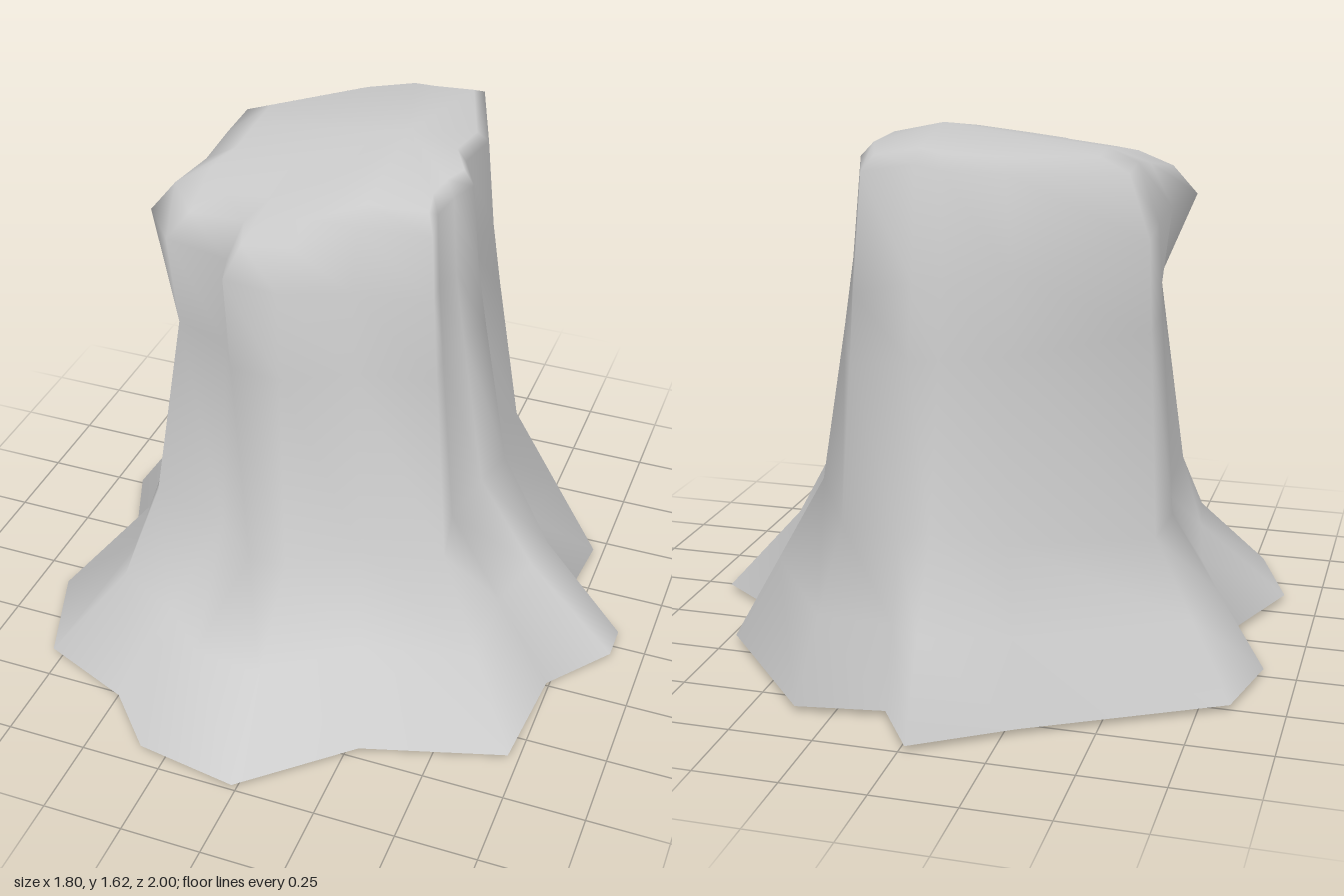
import * as THREE from 'three';

// Each ring runs clockwise seen from above, starting at the back: [x, z] per column.
const FOOT = [
  [-0.02, -1.0], [0.1, -0.81], [0.36, -0.85], [0.72, -0.43], [0.7, -0.2], [0.9, -0.05], [0.9, 0.06],
  [0.74, 0.24], [0.72, 0.6], [0.29, 0.73], [-0.01, 1.0], [-0.33, 0.95], [-0.5, 0.76], [-0.78, 0.66],
  [-0.89, 0.35], [-0.78, 0.06], [-0.9, -0.24], [-0.84, -0.51], [-0.29, -0.82],
];
// Where the flared roots meet the trunk: [x, z, y]
const TRUNK = [
  [-0.02, -0.75, 0.55], [0.09, -0.69, 0.5], [0.24, -0.75, 0.55], [0.43, -0.39, 0.55], [0.37, -0.2, 0.55],
  [0.48, -0.08, 0.6], [0.43, 0, 0.55], [0.38, 0.14, 0.5], [0.42, 0.34, 0.5], [0.16, 0.36, 0.48],
  [-0.05, 0.46, 0.42], [-0.17, 0.46, 0.42], [-0.3, 0.36, 0.45], [-0.53, 0.34, 0.5], [-0.56, 0.24, 0.5],
  [-0.54, 0.02, 0.46], [-0.6, -0.17, 0.46], [-0.59, -0.39, 0.46], [-0.22, -0.66, 0.5],
];
const SHOULDER = [
  [-0.04, -0.69], [0.05, -0.67], [0.2, -0.73], [0.32, -0.39], [0.3, -0.2], [0.36, -0.1], [0.32, -0.01],
  [0.3, 0.09], [0.32, 0.2], [0.1, 0.28], [-0.08, 0.4], [-0.24, 0.41], [-0.28, 0.29], [-0.48, 0.27],
  [-0.6, 0.12], [-0.55, -0.02], [-0.54, -0.18], [-0.55, -0.37], [-0.22, -0.62],
];
// Sideways shifts by column: slimmer side roots, and the hollow at the front right corner
const ROOT_SHIFT = { 5: -0.05, 6: -0.05, 13: 0.07, 14: 0.11 };
const WAIST_SHIFT = { 13: 0.05, 14: 0.1, 15: 0.03 };
const PEAK = [0.1, -0.2];
const lerp = THREE.MathUtils.lerp;

// Cut surface, falling away gently from its peak on every side
const capHeight = (x, z) => 1.615
  - (x < PEAK[0] ? 0.11 * (PEAK[0] - x) : 0.22 * (x - PEAK[0]))
  - (z < PEAK[1] ? 0.05 * (PEAK[1] - z) : 0.16 * (z - PEAK[1]));

// Shoulder ring drawn in towards the peak, following the cut surface
const capRing = (inset, drop) => SHOULDER.map(([sx, sz]) => {
  const x = lerp(sx, PEAK[0], inset), z = lerp(sz, PEAK[1], inset);
  return [x, capHeight(x, z) - drop, z];
});

function loft(rings, tip) {
  const n = rings[0].length, index = [];
  for (let r = 0; r < rings.length - 1; r++) {
    for (let i = 0; i < n; i++) {
      const a = r * n + i, b = r * n + (i + 1) % n;
      index.push(a, a + n, b + n, a, b + n, b);
    }
  }
  const last = (rings.length - 1) * n;
  for (let i = 0; i < n; i++) index.push(last + (i + 1) % n, last + i, rings.length * n);
  const geometry = new THREE.BufferGeometry();
  geometry.setAttribute('position', new THREE.Float32BufferAttribute([...rings.flat(2), ...tip], 3));
  geometry.setIndex(index);
  geometry.computeVertexNormals();
  return geometry;
}

export function createModel() {
  const foot = FOOT.map(([x, z], i) => [x, i === 7 || i === 12 ? 0 : 0.02, z]);
  const trunk = TRUNK.map(([x, z, y]) => [x, y, z]);
  const roots = foot.map(([x, y, z], i) => [
    lerp(x, trunk[i][0], 0.5) + (ROOT_SHIFT[i] ?? 0),
    lerp(y, trunk[i][1], 0.5),
    lerp(z, trunk[i][2], 0.5),
  ]);
  // Shoulder sits higher towards the front right
  const shoulder = SHOULDER.map(([x, z]) => [x, 1.31 - 0.1 * x + 0.1 * z, z]);
  const waist = shoulder.map(([x, y, z], i) => [
    lerp(trunk[i][0], x, 0.72) + (WAIST_SHIFT[i] ?? 0),
    lerp(trunk[i][1], y, 0.7),
    lerp(trunk[i][2], z, 0.72),
  ]);
  const rings = [foot, roots, trunk, waist, shoulder, capRing(0.1, 0.03), capRing(0.24, 0)];

  // Hollow shell, open underneath
  const stump = new THREE.Mesh(
    loft(rings, [PEAK[0], 1.615, PEAK[1]]),
    new THREE.MeshStandardMaterial({ color: 0xcccccc, side: THREE.DoubleSide }),
  );
  stump.name = 'treeStump';
  const model = new THREE.Group();
  model.name = 'stump';
  model.add(stump);
  return model;
}
